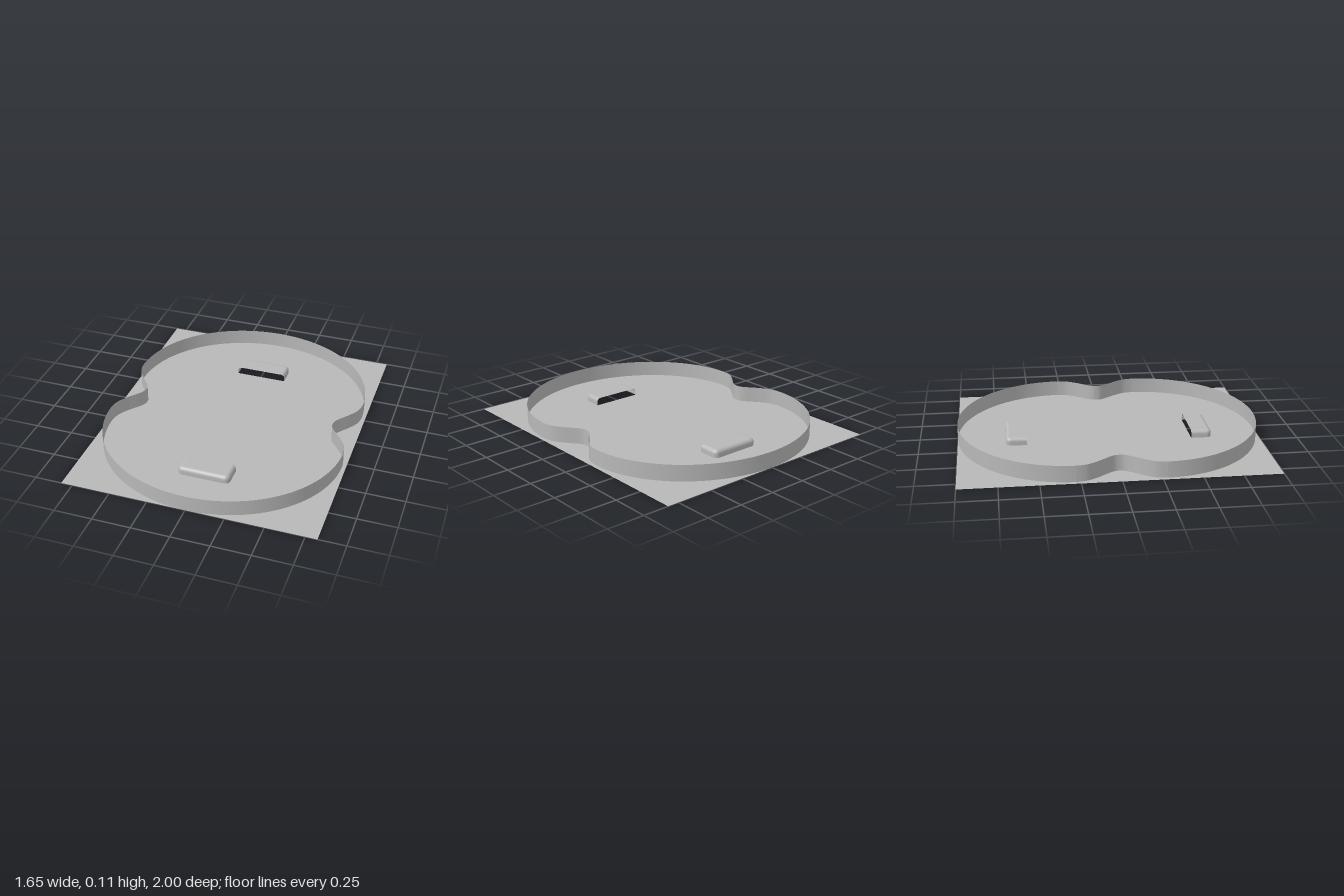
import * as THREE from 'three';

const material = new THREE.MeshStandardMaterial({ color: 0xb8b8b8, side: THREE.DoubleSide });
material.name = 'plain grey';

const HALF_W = 0.172, DEPTH = 0.138, GOAL_Z = 0.547, GOAL_H = 0.05, CORNER = 0.032, ROUND = 0.025;

// Smooth sheet through rows of equally many points
function sheet(rows) {
  const n = rows[0].length, index = [];
  for (let j = 0; j < rows.length - 1; j++) {
    for (let i = 0; i < n - 1; i++) {
      const a = j * n + i, b = a + 1, c = a + n, d = c + 1;
      index.push(a, c, b, b, c, d);
    }
  }
  const g = new THREE.BufferGeometry().setFromPoints(rows.flat());
  g.setIndex(index);
  g.computeVertexNormals();
  return g;
}

// Flat horizontal face from a shape drawn with y = -z
function flat(shape, y) {
  return new THREE.ShapeGeometry(shape).rotateX(-Math.PI / 2).translate(0, y, 0);
}

// U-shaped goal outline in plan, open towards z = 0, rounded at the outer corners
function goalOutline(inset) {
  const w = HALF_W - inset, d = DEPTH - inset, r = CORNER - inset, pts = [[w, 0]];
  for (const side of [1, -1]) {
    for (let k = 0; k <= 6; k++) {
      const a = (side > 0 ? k : 6 - k) / 6 * Math.PI / 2;
      pts.push([side * (w - r + r * Math.cos(a)), d - r + r * Math.sin(a)]);
    }
  }
  pts.push([-w, 0]);
  return pts;
}

function makeGoal() {
  const goal = new THREE.Group();
  const row = (inset, y) => goalOutline(inset).map(([x, z]) => new THREE.Vector3(x, y, z));
  const rows = [row(0, 0)];
  for (let k = 0; k <= 5; k++) {
    const a = k / 5 * Math.PI / 2;
    rows.push(row(ROUND * (1 - Math.cos(a)), GOAL_H - ROUND + ROUND * Math.sin(a)));
  }
  const hood = new THREE.Mesh(sheet(rows.reverse()), material);
  hood.name = 'goalHood';
  const top = new THREE.Shape(goalOutline(ROUND).map(([x, z]) => new THREE.Vector2(x, -z)));
  const roof = new THREE.Mesh(flat(top, GOAL_H), material);
  roof.name = 'goalRoof';
  goal.add(hood, roof);
  return goal;
}

// Peanut outline: pinched waist at each side, elliptical lobes front and back
function wallOutline() {
  const waist = new THREE.SplineCurve([[0.745, -0.14], [0.675, -0.05], [0.66, 0], [0.675, 0.05],
    [0.745, 0.14], [0.787, 0.21], [0.8, 0.28]].map(p => new THREE.Vector2(...p)));
  const half = waist.getPoints(48).filter(p => p.y >= 0);
  const quarter = [new THREE.Vector2(0.66, 0), ...half.filter(p => p.y > 0.005)];
  for (let k = 1; k <= 32; k++) {
    const a = k / 32 * Math.PI / 2;
    quarter.push(new THREE.Vector2(0.8 * Math.cos(a), 0.28 + 0.72 * Math.sin(a)));
  }
  const front = [...quarter, ...quarter.slice(0, -1).reverse().map(p => new THREE.Vector2(-p.x, p.y))];
  return [...front, ...front.slice(1).map(p => new THREE.Vector2(-p.x, -p.y))];
}

export function createModel() {
  const model = new THREE.Group();
  model.name = 'gameBoard';

  // Base plate with a pocket under each goal
  const plate = new THREE.Shape([[-0.825, -1], [0.825, -1], [0.825, 1], [-0.825, 1]]
    .map(p => new THREE.Vector2(...p)));
  for (const s of [1, -1]) {
    plate.holes.push(new THREE.Path(goalOutline(0)
      .map(([x, z]) => new THREE.Vector2(s * x, s * (GOAL_Z + z)))));
  }
  const base = new THREE.Mesh(flat(plate, 0), material);
  base.name = 'basePlate';
  model.add(base);

  // Thin upright wall
  const outline = wallOutline();
  const wall = new THREE.Mesh(sheet([0.107, 0].map(y =>
    outline.map(p => new THREE.Vector3(p.x, y, p.y)))), material);
  wall.name = 'boundaryWall';
  model.add(wall);

  // Goals facing each other
  for (const [name, turn] of [['frontGoal', 0], ['backGoal', Math.PI]]) {
    const goal = makeGoal();
    goal.name = name;
    goal.position.z = turn ? -GOAL_Z : GOAL_Z;
    goal.rotation.y = turn;
    model.add(goal);
  }
  return model;
}
